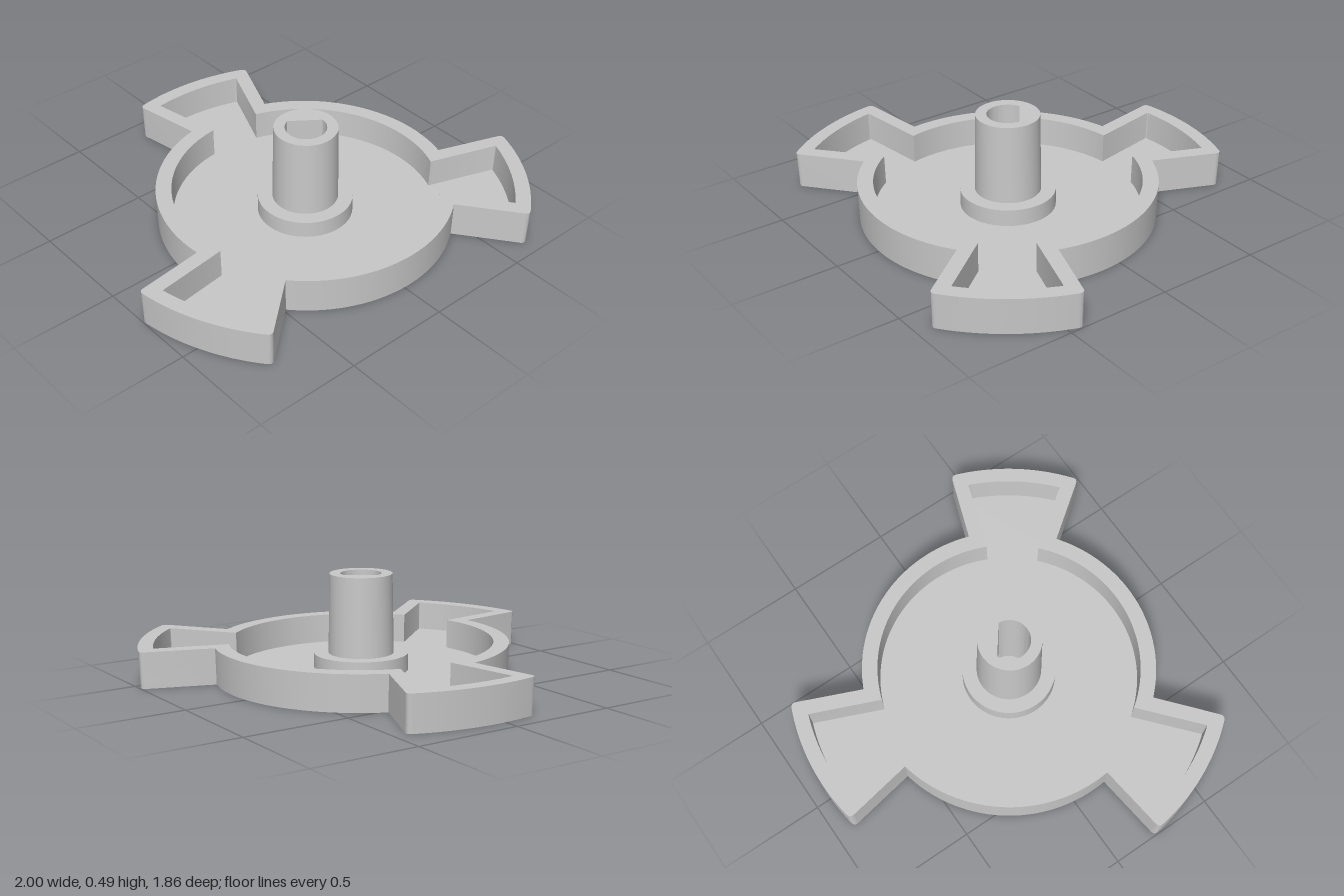
import * as THREE from 'three';
import { toCreasedNormals } from 'three/addons/utils/BufferGeometryUtils.js';

const CX = 0.026, CZ = 0.102; // hub axis
const FLOOR = 0.03, RIM = 0.17, HUB = 0.485;
const SEGMENTS = 32;
const rad = THREE.MathUtils.degToRad;

// Disc with three flared arms; angles run clockwise from the back (-z).
function outline(discR, armR, rootL, rootR, tipL, tipR, round) {
  const path = new THREE.Shape();
  const polar = (r, deg) =>
    new THREE.Vector2(r * Math.sin(rad(deg)), r * Math.cos(rad(deg)));
  const shapeAngle = (deg) => Math.PI / 2 - rad(deg);
  const trim = THREE.MathUtils.radToDeg(round / armR);
  for (let k = 0; k < 3; k++) {
    const a = k * 120;
    const rl = polar(discR, a + rootL), rr = polar(discR, a + rootR);
    const tl = polar(armR, a + tipL), tr = polar(armR, a + tipR);
    const toward = (tip, root) =>
      tip.clone().add(root.clone().sub(tip).setLength(round));
    if (k === 0) path.moveTo(rl.x, rl.y);
    const l = toward(tl, rl), r = toward(tr, rr);
    const start = polar(armR, a + tipL + trim);
    path.lineTo(l.x, l.y);
    path.quadraticCurveTo(tl.x, tl.y, start.x, start.y);
    path.absarc(0, 0, armR, shapeAngle(a + tipL + trim), shapeAngle(a + tipR - trim), true);
    path.quadraticCurveTo(tr.x, tr.y, r.x, r.y);
    path.lineTo(rr.x, rr.y);
    path.absarc(0, 0, discR, shapeAngle(a + rootR), shapeAngle(a + 120 + rootL), true);
  }
  return path;
}

function circle(Path, r) {
  const p = new Path();
  p.absarc(0, 0, r, 0, Math.PI * 2, false);
  return p;
}

// Upright extrusion from y0 to y1; scaleAt(y, r) gives the draft of the walls.
function upright(shape, y0, y1, scaleAt = () => 1) {
  const geo = new THREE.ExtrudeGeometry(shape, {
    depth: y1 - y0, bevelEnabled: false, curveSegments: SEGMENTS,
  });
  geo.rotateX(-Math.PI / 2).translate(0, y0, 0);
  const p = geo.attributes.position;
  for (let i = 0; i < p.count; i++) {
    const x = p.getX(i), y = p.getY(i), z = p.getZ(i);
    const s = scaleAt(y, Math.hypot(x, z));
    p.setXYZ(i, x * s, y, z * s);
  }
  return toCreasedNormals(geo, rad(30));
}

export function createModel() {
  const grey = new THREE.MeshStandardMaterial({ color: 0xc8c8c8 });
  grey.name = 'grey';
  const model = new THREE.Group();
  model.name = 'threeArmedKnob';
  const add = (name, geo) => {
    const mesh = new THREE.Mesh(geo, grey);
    mesh.name = name;
    mesh.position.set(CX, 0, CZ);
    model.add(mesh);
  };

  const outer = () => outline(0.691, 1.034, -11.6, 24.3, -11.2, 23.9, 0.025);
  const draft = (y) => 1 - 0.006 * (1 - y / RIM);

  // Closed floor plate
  add('floor', upright(outer(), 0, FLOOR, draft));

  // Wall following the outline; the pocket runs the opposite way so it faces inward
  const wall = outer();
  const pocket = outline(0.618, 0.964, -5.1, 18.1, -7.2, 19.8, 0.004);
  wall.holes.push(new THREE.Path(pocket.getPoints(SEGMENTS).reverse()));
  add('rimWall', upright(wall, FLOOR, RIM, draft));

  // Low collar at the foot of the hub
  const collar = circle(THREE.Shape, 0.221);
  collar.holes.push(circle(THREE.Path, 0.14));
  add('collar', upright(collar, FLOOR, 0.11));

  // Tapered hub with a D-shaped bore
  const hub = circle(THREE.Shape, 0.147);
  const bore = new THREE.Path();
  bore.absarc(0, 0, 0.096, rad(110), rad(357), false);
  bore.closePath();
  hub.holes.push(bore);
  add('hub', upright(hub, FLOOR, HUB, (y, r) =>
    r > 0.12 ? 1 + 0.05 * (HUB - y) / (HUB - FLOOR) : 1));

  return model;
}
